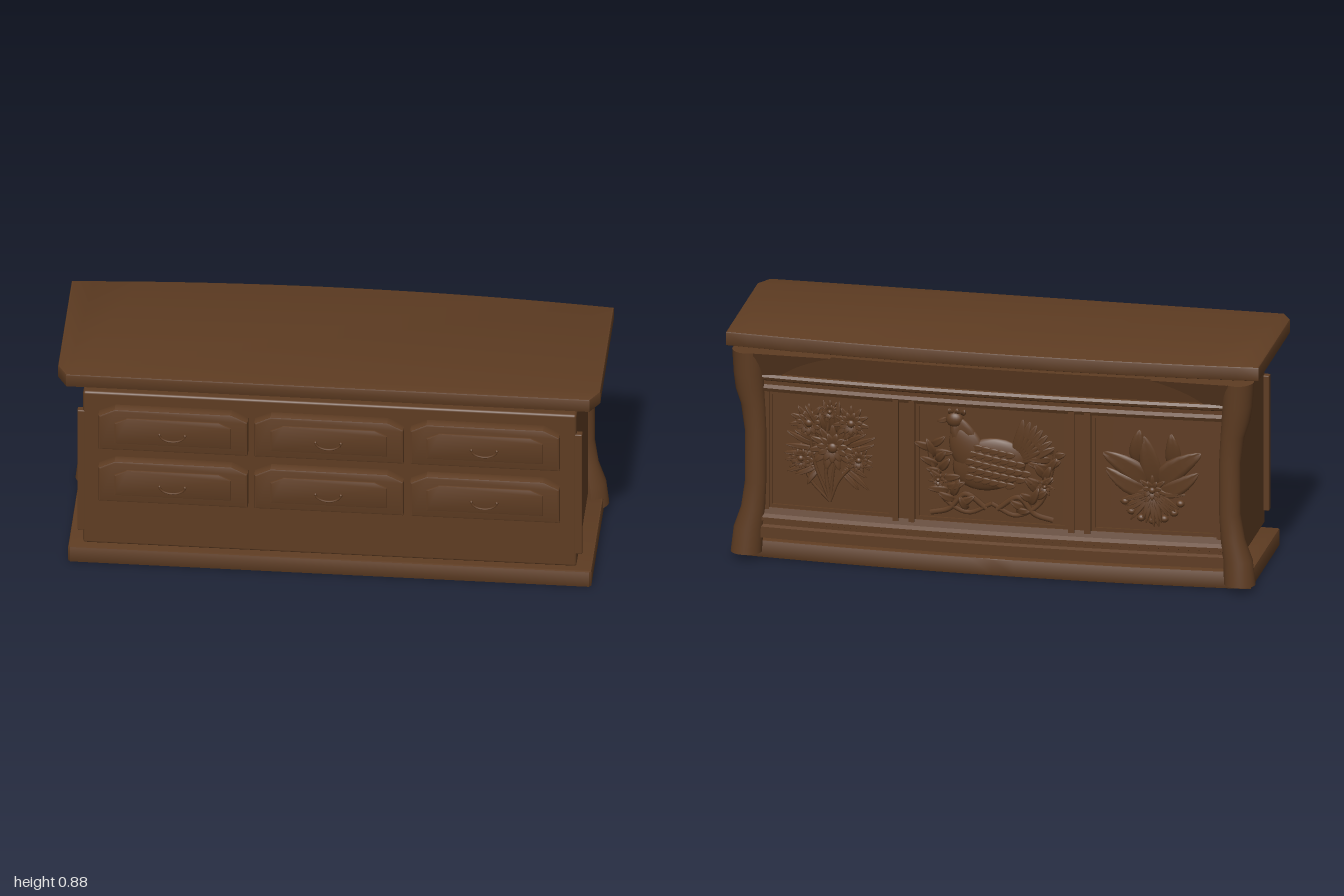
import * as THREE from 'three';
import { toCreasedNormals } from 'three/addons/utils/BufferGeometryUtils.js';
import { RoundedBoxGeometry } from 'three/addons/geometries/RoundedBoxGeometry.js';

const wood = new THREE.MeshStandardMaterial({ color: 0x5e3c22 });
wood.name = 'brown wood';

let seed = 7;
const rand = () => (seed = (seed * 16807) % 2147483647) / 2147483647;
const bulge = x => 0.04 * (1 - x * x);

function add(parent, name, geo, x = 0, y = 0, z = 0) {
  const m = new THREE.Mesh(geo, wood);
  m.name = name;
  m.position.set(x, y, z);
  parent.add(m);
  return m;
}

// Moves every vertex of a geometry by a rule
function warp(geo, rule) {
  const p = geo.attributes.position, v = new THREE.Vector3();
  for (let i = 0; i < p.count; i++) {
    rule(v.fromBufferAttribute(p, i));
    p.setXYZ(i, v.x, v.y, v.z);
  }
  geo.computeVertexNormals();
  return geo;
}

const polygon = pts => new THREE.Shape(pts.map(p => new THREE.Vector2(...p)));

// Moulding along x that follows the bowed back; profile is [distance behind centre, y]
function moulding(parent, name, profile, x0, x1) {
  const geo = new THREE.ExtrudeGeometry(polygon(profile), {
    depth: x1 - x0, steps: Math.max(1, Math.ceil((x1 - x0) * 14)), bevelEnabled: false });
  geo.rotateY(Math.PI / 2).translate(x0, 0, 0);
  warp(geo, v => { v.z -= bulge(v.x); });
  return add(parent, name, toCreasedNormals(geo, 0.4));
}
const strip = (s0, s1, y0, y1) => [[s0, y0], [s1, y0], [s1, y1], [s0, y1]];

// Horizontal board with chamfered front corners and a bowed back edge
function board(parent, name, hx, front, back, bow, cx, cz, y0, y1) {
  const pts = [[-hx + cx, -front], [hx - cx, -front], [hx, -front + cz]];
  for (let i = 0; i <= 24; i++) {
    const t = 1 - i / 12;
    pts.push([hx * t, back + bow * (1 - t * t)]);
  }
  pts.push([-hx, -front + cz]);
  const b = 0.006;
  const geo = new THREE.ExtrudeGeometry(polygon(pts), {
    depth: y1 - y0 - 2 * b, bevelThickness: b, bevelSize: b, bevelOffset: -b, bevelSegments: 2 });
  geo.rotateX(-Math.PI / 2).translate(0, y0 + b, 0);
  return add(parent, name, toCreasedNormals(geo, 0.4));
}

// Carved leaf growing from its base, lifted and curled toward the tip
function leaf(parent, name, x, y, len, wid, angle, { depth = 0.012, lift = 0.012, curl = 0, out = 0 } = {}) {
  const geo = warp(new THREE.SphereGeometry(1, 12, 8), v => {
    const t = (v.y + 1) / 2, fold = 1 - Math.abs(v.x);
    v.x = v.x * wid * (1.1 - 0.5 * t) + curl * t * t;
    v.z = v.z * depth - lift * t + depth * 0.5 * fold * fold;
    v.y = t * len;
  });
  const m = add(parent, name, geo, x, y, -0.252 - bulge(x) - out);
  m.rotation.z = angle;
  return m;
}

function knob(parent, name, x, y, rx, ry, rz, out = 0, tilt = 0) {
  const m = add(parent, name, new THREE.SphereGeometry(1, 20, 14), x, y, -0.252 - bulge(x) - out);
  m.scale.set(rx, ry, rz);
  m.rotation.z = tilt;
  return m;
}

function stem(parent, name, pts, r = 0.006) {
  const curve = new THREE.CatmullRomCurve3(pts.map(([x, y]) => new THREE.Vector3(x, y, -0.256 - bulge(x))));
  return add(parent, name, new THREE.TubeGeometry(curve, 24, r, 6));
}

function blossom(parent, x, y, r, petals) {
  for (let ring = 0; ring < 2; ring++)
    for (let i = 0; i < petals; i++)
      leaf(parent, 'petal', x, y, r * (1 - 0.35 * ring), r * 0.2, (i + ring / 2) * 2 * Math.PI / petals,
        { depth: 0.008, out: 0.006 * ring, lift: 0.01 });
  knob(parent, 'flowerCentre', x, y, r * 0.22, r * 0.22, 0.012, 0.01);
}

function drawer(parent, x, y) {
  const g = new THREE.Group();
  g.name = 'drawer';
  g.position.set(x, y, 0);
  parent.add(g);
  const panel = (name, w, h, cx, cy, z0, z1, b) => {
    const geo = new THREE.ExtrudeGeometry(
      polygon([[-w, -h], [w, -h], [w, h - cy], [w - cx, h], [-w + cx, h], [-w, h - cy]]),
      { depth: z1 - z0 - b, bevelThickness: b, bevelSize: b, bevelOffset: -b, bevelSegments: 2 });
    add(g, name, toCreasedNormals(geo.translate(0, 0, z0), 0.4));
  };
  panel('drawerFront', 0.275, 0.0885, 0.06, 0.03, 0.25, 0.291, 0.007);
  panel('drawerField', 0.215, 0.055, 0.045, 0.022, 0.288, 0.298, 0.004);
  const handle = add(g, 'handle', new THREE.TorusGeometry(0.046, 0.005, 8, 20, Math.PI), 0, 0.006, 0.319);
  handle.rotation.z = Math.PI;
  handle.scale.y = 0.6;
  for (const s of [-1, 1]) add(g, 'handleEnd', new THREE.SphereGeometry(0.006, 8, 6), s * 0.047, 0.007, 0.319);
}

export function createModel() {
  const root = new THREE.Group();
  root.name = 'sideboard';

  // Main boards and carcass
  board(root, 'topBoard', 1, 0.335, 0.29, 0.045, 0.035, 0.06, 0.82, 0.875);
  board(root, 'plinth', 0.965, 0.26, 0.26, 0.04, 0.008, 0.008, 0, 0.067);
  add(root, 'carcass', new RoundedBoxGeometry(1.82, 0.665, 0.485, 3, 0.01), 0, 0.4175, 0.0125);
  for (const s of [-1, 1])
    add(root, 'sideStrip', new RoundedBoxGeometry(0.04, 0.525, 0.028, 2, 0.004), s * 0.911, 0.4025, 0.24);
  for (const y of [0.6115, 0.3835]) for (const x of [-0.575, 0, 0.575]) drawer(root, x, y);

  // Flared rear columns: y, centre x, distance back, radius x, radius z
  const rows = [
    [0.81, 0.92, 0.272, 0.058, 0.063], [0.72, 0.917, 0.272, 0.056, 0.057], [0.66, 0.912, 0.275, 0.053, 0.05],
    [0.6, 0.9, 0.276, 0.045, 0.042], [0.5, 0.89, 0.28, 0.04, 0.034], [0.3, 0.89, 0.28, 0.04, 0.032],
    [0.2, 0.9, 0.276, 0.045, 0.038], [0.12, 0.918, 0.272, 0.055, 0.05], [0.025, 0.926, 0.274, 0.058, 0.054]];
  for (const s of [-1, 1]) {
    const n = rows.length - 1;
    add(root, 'rearColumn', warp(new THREE.CylinderGeometry(1, 1, 1, 28, n), v => {
      const [y, cx, cz, rx, rz] = rows[Math.round((0.5 - v.y) * n)];
      v.set(s * cx + v.x * rx, y, -cz + v.z * rz);
    }));
    // Corner bracket leaning out under the top
    const shape = new THREE.Shape();
    shape.moveTo(s * 0.89, 0.71);
    shape.lineTo(s * 0.89, 0.81);
    shape.lineTo(s * 0.6, 0.81);
    shape.quadraticCurveTo(s * 0.74, 0.77, s * 0.8, 0.71);
    const geo = new THREE.ExtrudeGeometry(shape, { depth: 0.06, bevelEnabled: false });
    add(root, 'cornerBracket', warp(geo, v => { v.z += -0.33 + 0.045 * (0.81 - v.y) / 0.1; }));
  }

  // Bowed back frame
  const back = new THREE.Group();
  back.name = 'backFrame';
  root.add(back);
  moulding(back, 'backPanel', strip(0.19, 0.25, 0.086, 0.76), -0.88, 0.88);
  moulding(back, 'cornice', [[0.2, 0.715], [0.26, 0.715], [0.287, 0.81], [0.22, 0.81]], -0.88, 0.88);
  moulding(back, 'topRail', [[0.2, 0.65], [0.268, 0.65], [0.274, 0.664], [0.262, 0.675], [0.262, 0.69],
    [0.278, 0.698], [0.282, 0.708], [0.276, 0.718], [0.2, 0.718]], -0.88, 0.88);
  moulding(back, 'bottomRail', [[0.2, 0.086], [0.283, 0.086], [0.283, 0.128], [0.27, 0.135], [0.27, 0.147],
    [0.284, 0.152], [0.284, 0.165], [0.27, 0.176], [0.264, 0.2], [0.2, 0.2]], -0.88, 0.88);
  for (const s of [-1, 1]) {
    moulding(back, 'stile', strip(0.2, 0.263, 0.19, 0.66), s * 0.33 - 0.045, s * 0.33 + 0.045);
    for (const o of [-0.03, 0.03])
      moulding(back, 'stileBead', strip(0.25, 0.273, 0.19, 0.66), s * 0.33 + o - 0.011, s * 0.33 + o + 0.011);
    moulding(back, 'endStile', strip(0.2, 0.266, 0.19, 0.66), s * 0.86 - 0.02, s * 0.86 + 0.02);
  }
  for (const [a, b] of [[-0.84, -0.375], [-0.285, 0.285], [0.375, 0.84]]) {
    for (const y of [0.2, 0.638]) moulding(back, 'panelEdge', strip(0.24, 0.259, y, y + 0.012), a, b);
    for (const x of [a, b - 0.012]) moulding(back, 'panelEdge', strip(0.24, 0.259, 0.2, 0.65), x, x + 0.012);
  }

  // Left panel: bunch of narrow-petalled flowers
  const flowers = new THREE.Group();
  flowers.name = 'flowerCarving';
  root.add(flowers);
  for (const [x, y, r] of [[0.6, 0.45, 0.09], [0.53, 0.55, 0.07], [0.69, 0.54, 0.075], [0.5, 0.41, 0.055], [0.72, 0.4, 0.06], [0.61, 0.59, 0.045]]) {
    stem(flowers, 'stem', [[0.61, 0.24], [(0.61 + x) / 2 + 0.02, (0.24 + y) / 2], [x, y]]);
    blossom(flowers, x, y, r, 11);
  }
  for (let i = 0; i < 26; i++) {
    const a = -2.3 + 4.6 * i / 25;
    leaf(flowers, 'leaf', 0.61 - 0.06 * Math.sin(a), 0.42 + 0.09 * Math.cos(a), 0.07 + 0.06 * rand(), 0.013, a,
      { curl: 0.04 * (rand() - 0.5) });
  }

  // Right panel: broad leaves above fine roots
  const leaves = new THREE.Group();
  leaves.name = 'leafCarving';
  root.add(leaves);
  for (const [x, y, len, wid, a, curl] of [
    [-0.6, 0.38, 0.2, 0.045, -0.05, 0.02], [-0.61, 0.38, 0.22, 0.05, 0.65, -0.05], [-0.59, 0.38, 0.21, 0.05, -0.7, 0.05],
    [-0.62, 0.36, 0.17, 0.04, 1.35, 0.05], [-0.58, 0.36, 0.17, 0.04, -1.35, -0.05], [-0.55, 0.47, 0.13, 0.035, -0.2, -0.03],
    [-0.67, 0.46, 0.13, 0.035, 0.25, 0.03]])
    leaf(leaves, 'broadLeaf', x, y, len, wid, a, { depth: 0.014, lift: 0.018, curl });
  blossom(leaves, -0.6, 0.37, 0.06, 7);
  for (let i = 0; i < 15; i++) {
    const a = Math.PI - 1.4 + 2.8 * i / 14;
    leaf(leaves, 'root', -0.6, 0.36, 0.09 + 0.05 * rand(), 0.012, a, { curl: 0.05 * (rand() - 0.5) });
    if (i % 2) knob(leaves, 'bud', -0.6 - 0.11 * Math.sin(a), 0.36 + 0.11 * Math.cos(a), 0.016, 0.014, 0.014);
  }

  // Centre panel: bird among foliage
  const bird = new THREE.Group();
  bird.name = 'birdCarving';
  root.add(bird);
  knob(bird, 'birdBody', 0.01, 0.43, 0.14, 0.1, 0.026, 0, -0.25);
  knob(bird, 'birdBreast', 0.09, 0.48, 0.065, 0.1, 0.024, 0, -0.4);
  leaf(bird, 'birdNeck', 0.08, 0.47, 0.15, 0.055, -0.4, { depth: 0.02, lift: 0.005 });
  knob(bird, 'birdHead', 0.14, 0.595, 0.033, 0.03, 0.022);
  leaf(bird, 'beak', 0.165, 0.595, 0.04, 0.012, -1.8);
  for (let i = 0; i < 3; i++) leaf(bird, 'comb', 0.15 - 0.018 * i, 0.612, 0.03, 0.012, -0.3 + 0.4 * i);
  for (let i = 0; i < 7; i++)
    leaf(bird, 'tailFeather', -0.08, 0.45, 0.17, 0.026, 0.35 + 0.16 * i, { curl: 0.02, lift: 0.014 });
  for (let r = 0; r < 5; r++) for (let i = 0; i < 8 - Math.abs(r - 2); i++) {
    const x = 0.1 - 0.03 * i - 0.008 * (r % 2), y = 0.5 - 0.03 * r - 0.005 * i;
    const d = Math.max(0, 1 - ((x - 0.01) / 0.16) ** 2 - ((y - 0.43) / 0.12) ** 2);
    leaf(bird, 'feather', x, y, 0.042, 0.016, 1.5, { depth: 0.005, lift: 0.004, out: 0.024 * Math.sqrt(d) });
  }
  for (const s of [-1, 1]) {
    stem(bird, 'branch', [[0, 0.28], [s * 0.09, 0.24], [s * 0.18, 0.29], [s * 0.22, 0.4], [s * 0.24, 0.5]], 0.009);
    stem(bird, 'scroll', [[s * 0.02, 0.26], [s * 0.1, 0.31], [s * 0.16, 0.25], [s * 0.23, 0.23]], 0.011);
    for (let i = 0; i < 16; i++) {
      const t = i / 15, x = s * (0.09 + 0.14 * Math.sqrt(t)), y = 0.25 + 0.24 * t;
      leaf(bird, 'foliage', x, y, 0.05 + 0.03 * rand(), 0.018, s * (i % 2 ? 0.9 : -0.8) + rand() - 0.5,
        { curl: 0.03 * (rand() - 0.5), lift: 0.016 });
    }
    blossom(bird, s * 0.2, 0.36, 0.04, 7);
  }
  return root;
}
